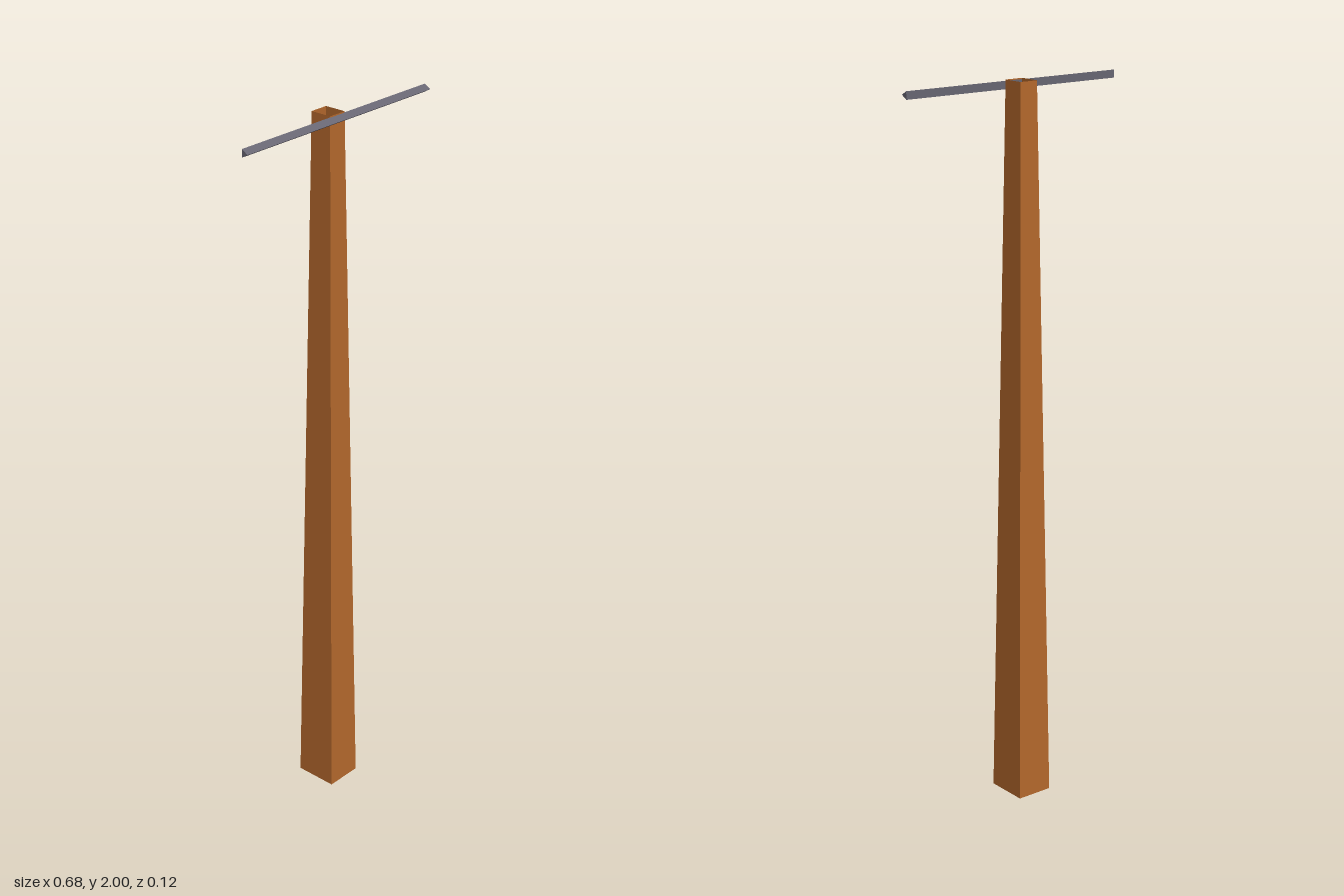
import * as THREE from 'three';

export function createModel() {
  const wood = new THREE.MeshStandardMaterial({ color: 0xb4682c, side: THREE.DoubleSide, flatShading: true });
  wood.name = 'brown wood';
  const metal = new THREE.MeshStandardMaterial({ color: 0x686672, flatShading: true });
  metal.name = 'grey metal';

  const model = new THREE.Group();
  model.name = 'utilityPole';

  // Square tapered post, hollow and open at both ends
  const postGeometry = new THREE.CylinderGeometry(Math.SQRT1_2, Math.SQRT1_2, 2, 4, 1, true);
  postGeometry.rotateY(Math.PI / 4);
  const pos = postGeometry.attributes.position;
  for (let i = 0; i < pos.count; i++) {
    const top = pos.getY(i) > 0;
    pos.setX(i, Math.sign(pos.getX(i)) * (top ? 0.027 : 0.053));
    pos.setZ(i, Math.sign(pos.getZ(i)) * (top ? 0.031 : 0.061));
  }
  postGeometry.translate(0, 1, 0);
  postGeometry.computeVertexNormals();
  const post = new THREE.Mesh(postGeometry, wood);
  post.name = 'post';
  model.add(post);

  // Three-sided crossbar with its edge facing forward
  const barGeometry = new THREE.CylinderGeometry(0.0125, 0.0125, 0.682, 3);
  barGeometry.rotateZ(Math.PI / 2);
  const crossbar = new THREE.Mesh(barGeometry, metal);
  crossbar.name = 'crossbar';
  crossbar.position.set(0, 1.986, 0.0365);
  model.add(crossbar);

  return model;
}
